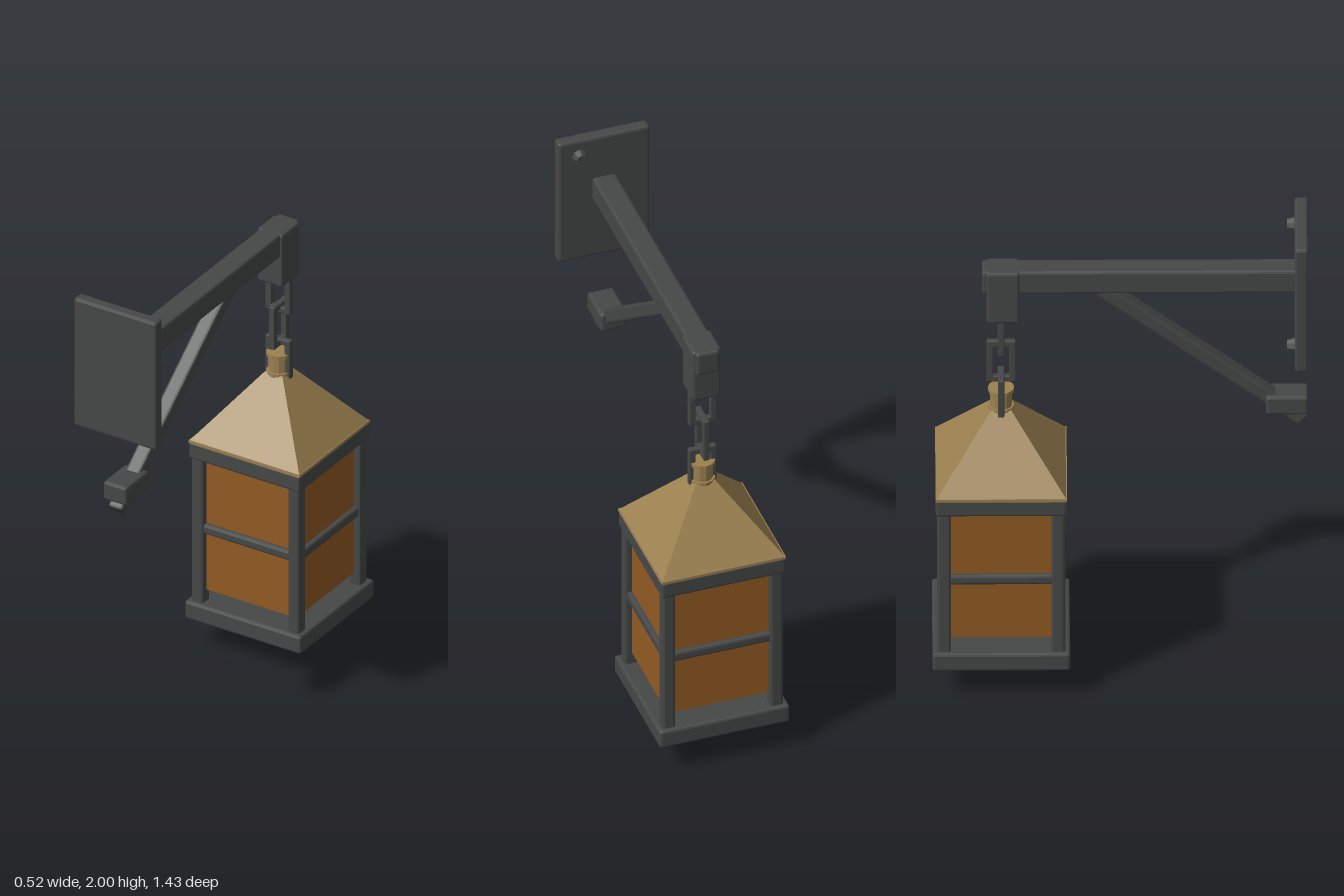
import * as THREE from 'three';
import { RoundedBoxGeometry } from 'three/addons/geometries/RoundedBoxGeometry.js';

const mat = (color, extra = {}) => new THREE.MeshStandardMaterial({ color, flatShading: true, ...extra });

export function createModel() {
  const model = new THREE.Group();
  const iron = mat(0x454847), brass = mat(0x9c8050), amber = mat(0x925a22), wax = mat(0xcccccc);

  const add = (parent, name, geometry, material, x, y, z) => {
    const mesh = new THREE.Mesh(geometry, material);
    mesh.name = name;
    mesh.position.set(x, y, z);
    parent.add(mesh);
    return mesh;
  };
  // Box with narrow chamfered edges
  const bar = (parent, name, w, h, d, x, y, z, material = iron, bevel = 0.01) =>
    add(parent, name, new RoundedBoxGeometry(w, h, d, 1, bevel), material, x, y, z);
  // Square frustum with sides along x and z; r0 and r1 are half widths
  const frustum = (r1, r0, h) =>
    new THREE.CylinderGeometry(r1 * Math.SQRT2, r0 * Math.SQRT2, h, 4, 1).rotateY(Math.PI / 4);

  // Wall bracket
  const bracket = new THREE.Group();
  bracket.name = 'wallBracket';
  model.add(bracket);
  bar(bracket, 'wallPlate', 0.37, 0.56, 0.05, 0, 1.72, 0.685);
  bar(bracket, 'arm', 0.094, 0.10, 1.2, 0, 1.76, 0.07);
  bar(bracket, 'armEndBlock', 0.114, 0.23, 0.125, 0, 1.695, -0.45);
  bar(bracket, 'armTip', 0.094, 0.10, 0.06, 0, 1.76, -0.5);
  for (const [x, y] of [[0.1, 1.93], [-0.1, 1.51]]) {
    const bolt = add(bracket, 'bolt', new THREE.CylinderGeometry(0.022, 0.031, 0.035, 8), iron, x, y, 0.648);
    bolt.rotation.x = -Math.PI / 2;
  }

  // Diagonal brace between the foot block and the arm
  const low = new THREE.Vector3(0, 1.115, 0.695), high = new THREE.Vector3(0, 1.735, -0.105);
  const mid = low.clone().add(high).multiplyScalar(0.5);
  const brace = bar(bracket, 'brace', 0.064, 0.058, low.distanceTo(high), mid.x, mid.y, mid.z);
  brace.rotation.x = Math.atan2(high.y - low.y, low.z - high.z);
  bar(bracket, 'braceFoot', 0.105, 0.08, 0.16, 0, 1.195, 0.63);

  // Everything below hangs around one vertical axis
  const lantern = new THREE.Group();
  lantern.name = 'hangingLantern';
  lantern.position.z = -0.457;
  model.add(lantern);

  // Chain of rectangular links, alternately turned
  [[1.43, 1.62], [1.285, 1.47], [1.145, 1.315]].forEach(([y0, y1], i) => {
    const link = new THREE.Group();
    link.name = 'chainLink';
    link.position.y = (y0 + y1) / 2;
    link.rotation.y = i % 2 ? Math.PI / 2 : 0;
    lantern.add(link);
    const h = y1 - y0, t = 0.025;
    for (const s of [-1, 1]) {
      bar(link, 'linkSide', t, h, t, s * 0.0425, 0, 0, iron, 0.004);
      bar(link, 'linkEnd', 0.085, t, t, 0, s * (h - t) / 2, 0, iron, 0.004);
    }
  });

  // Roof with its neck and collars
  add(lantern, 'roof', frustum(0.04, 0.25, 0.27), brass, 0, 1.035, 0);
  add(lantern, 'roofEave', frustum(0.25, 0.25, 0.012), brass, 0, 0.899, 0);
  add(lantern, 'neck', new THREE.CylinderGeometry(0.042, 0.042, 0.1, 12), brass, 0, 1.205, 0);
  for (const y of [1.168, 1.247])
    add(lantern, 'neckCollar', new THREE.CylinderGeometry(0.05, 0.05, 0.016, 12), brass, 0, y, 0);

  // Frame
  bar(lantern, 'topFrame', 0.5, 0.075, 0.5, 0, 0.8625, 0);
  bar(lantern, 'basePlate', 0.524, 0.077, 0.524, 0, 0.163, 0);
  for (const x of [-1, 1]) for (const z of [-1, 1])
    bar(lantern, 'cornerPost', 0.052, 0.65, 0.052, x * 0.217, 0.515, z * 0.217);

  // Glass pane and cross bar on each side
  for (let i = 0; i < 4; i++) {
    const side = new THREE.Group();
    side.name = 'lanternSide';
    side.rotation.y = i * Math.PI / 2;
    lantern.add(side);
    add(side, 'pane', new THREE.BoxGeometry(0.4, 0.565, 0.014), amber, 0, 0.533, 0.208);
    bar(side, 'crossBar', 0.4, 0.042, 0.036, 0, 0.523, 0.217);
  }

  // Candle inside
  add(lantern, 'candle', new THREE.CylinderGeometry(0.058, 0.058, 0.28, 12), wax, 0, 0.335, 0);

  // Flared finial under the base
  add(lantern, 'finialStem', frustum(0.024, 0.06, 0.12), brass, 0, 0.072, 0);
  add(lantern, 'finialFoot', frustum(0.06, 0.07, 0.013), brass, 0, 0.0065, 0);

  return model;
}
